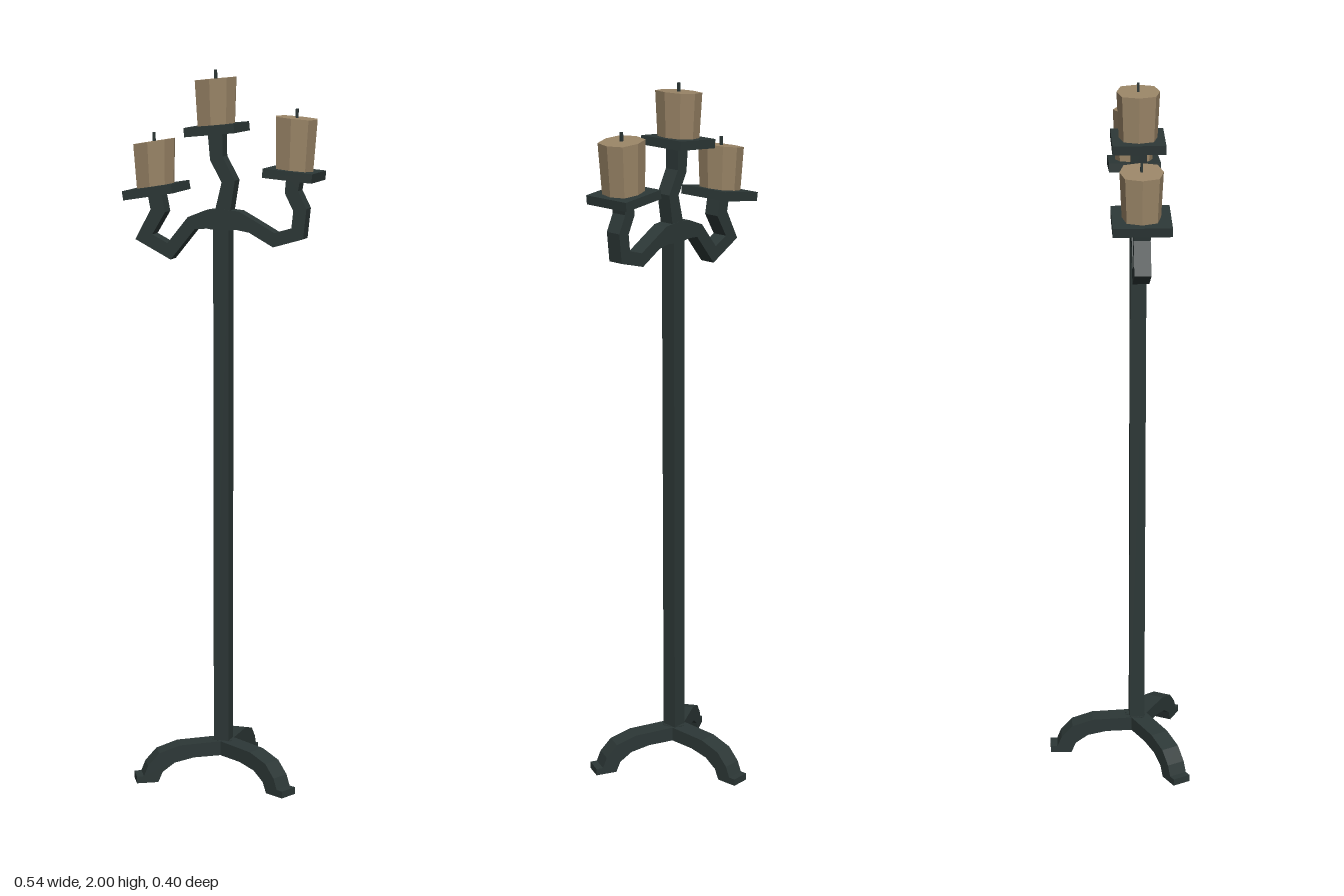
import * as THREE from 'three';

const iron = new THREE.MeshStandardMaterial({ color: 0x2c3736 });
iron.name = 'dark iron';
const wax = new THREE.MeshStandardMaterial({ color: 0x9a8567 });
wax.name = 'tan wax';

const AXIS_X = -0.003, AXIS_Z = 0.052;

function add(parent, name, geometry, material) {
  const flat = geometry.index ? geometry.toNonIndexed() : geometry;
  flat.computeVertexNormals();
  const mesh = new THREE.Mesh(flat, material);
  mesh.name = name;
  parent.add(mesh);
  return mesh;
}

function extrude(points, depth) {
  const shape = new THREE.Shape(points.map(([x, y]) => new THREE.Vector2(x, y)));
  return new THREE.ExtrudeGeometry(shape, { depth, bevelEnabled: false }).translate(0, 0, -depth / 2);
}

// Flat bar following a bent path of [x, y, width] with mitred corners
function bentBar(path, depth) {
  const upper = [], lower = [];
  path.forEach(([x, y, w], i) => {
    const [px, py] = path[Math.max(i - 1, 0)];
    const [nx, ny] = path[Math.min(i + 1, path.length - 1)];
    let a = new THREE.Vector2(x - px, y - py).normalize();
    let b = new THREE.Vector2(nx - x, ny - y).normalize();
    if (i === 0) a = b.clone();
    if (i === path.length - 1) b = a.clone();
    const t = a.clone().add(b).normalize();
    const half = w / 2 / Math.max(t.dot(a), 0.7);
    upper.push([x - t.y * half, y + t.x * half]);
    lower.push([x + t.y * half, y - t.x * half]);
  });
  return extrude([...lower, ...upper.reverse()], depth);
}

// Tilts a part by a rule: x leans with height, y slopes with x
function skew(geometry, lean, slope) {
  const p = geometry.attributes.position;
  for (let i = 0; i < p.count; i++) {
    const x = p.getX(i), y = p.getY(i);
    p.setXY(i, x + lean * y, y + slope * x);
  }
  return geometry;
}

// Eight-sided candle, squarish in plan and narrower at the foot
function candleGeometry(height) {
  const g = new THREE.CylinderGeometry(0.058, 0.052, height, 8).translate(0, height / 2, 0);
  const p = g.attributes.position;
  for (let i = 0; i < p.count; i++) {
    const x = p.getX(i), z = p.getZ(i);
    if (Math.abs(x) > 0.02 && Math.abs(z) > 0.02) {
      p.setX(i, x * 1.1);
      p.setZ(i, z * 1.1);
    }
  }
  return g;
}

export function createModel() {
  const model = new THREE.Group();
  model.name = 'candelabra';

  // Square pole
  add(model, 'pole', new THREE.BoxGeometry(0.044, 1.52, 0.044), iron)
    .position.set(AXIS_X, 0.84, AXIS_Z);

  // Three arched legs
  const legProfile = [
    [-0.02, 0.07], [0.09, 0.067], [0.145, 0.055], [0.18, 0.03], [0.193, 0],
    [0.254, 0], [0.254, 0.02], [0.234, 0.02], [0.222, 0.05], [0.19, 0.085], [0.13, 0.105], [-0.02, 0.112],
  ];
  [['backLeg', Math.PI / 2], ['rightLeg', Math.PI + 0.486], ['leftLeg', -0.47]].forEach(([name, angle]) => {
    const leg = add(model, name, extrude(legProfile, 0.053), iron);
    leg.position.set(AXIS_X, 0, AXIS_Z);
    leg.rotation.y = angle;
  });

  // Side arms run as one crooked bar through the thick hub
  const sideArms = [
    [-0.196, 1.67, 0.04], [-0.185, 1.615, 0.04], [-0.226, 1.542, 0.036], [-0.153, 1.504, 0.036],
    [-0.088, 1.584, 0.036], [-0.045, 1.595, 0.05], [0, 1.594, 0.06], [0.045, 1.594, 0.05],
    [0.085, 1.579, 0.036], [0.148, 1.544, 0.036], [0.214, 1.563, 0.036], [0.221, 1.628, 0.036],
    [0.197, 1.676, 0.036], [0.203, 1.722, 0.04],
  ];
  add(model, 'sideArms', bentBar(sideArms, 0.045), iron).position.z = AXIS_Z;

  // Crooked middle arm
  const middleArm = [
    [-0.004, 1.59, 0.045], [0.018, 1.7, 0.036], [-0.016, 1.762, 0.036], [-0.02, 1.838, 0.042],
  ];
  add(model, 'middleArm', bentBar(middleArm, 0.043), iron).position.z = AXIS_Z;

  // Drip plates, candles and wicks, each slightly askew
  const holders = [
    { name: 'right', x: -0.199, y: 1.682, h: 0.122, lean: -0.03, slope: 0.16, w: 0.142, d: 0.157 },
    { name: 'middle', x: -0.023, y: 1.852, h: 0.124, lean: -0.015, slope: 0.095, w: 0.142, d: 0.143 },
    { name: 'left', x: 0.199, y: 1.735, h: 0.139, lean: 0.04, slope: -0.09, w: 0.138, d: 0.143 },
  ];
  for (const { name, x, y, h, lean, slope, w, d } of holders) {
    const holder = new THREE.Group();
    holder.name = name + 'Holder';
    holder.position.set(x, y, AXIS_Z - 0.002);
    const plate = new THREE.BoxGeometry(w, 0.025, d).translate(0, -0.0125, 0);
    add(holder, name + 'Plate', skew(plate, -slope, slope), iron);
    add(holder, name + 'Candle', skew(candleGeometry(h), lean, slope), wax);
    const wick = new THREE.BoxGeometry(0.007, 0.034, 0.007).translate(0, h + 0.007, 0);
    add(holder, name + 'Wick', skew(wick, lean, 0), iron);
    model.add(holder);
  }
  return model;
}
